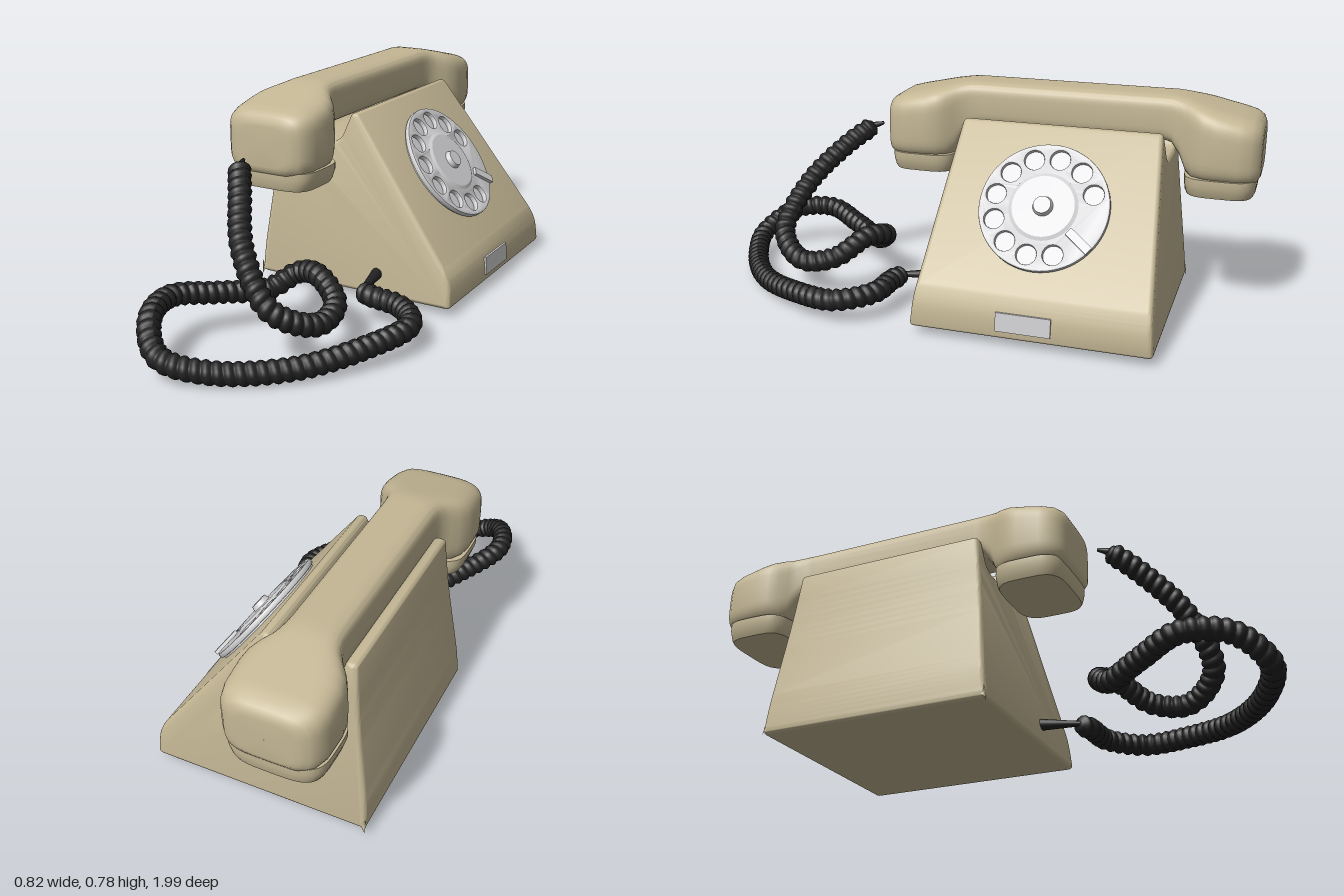
import * as THREE from 'three';
import { toCreasedNormals } from 'three/addons/utils/BufferGeometryUtils.js';

const mat = (name, color) => {
  const m = new THREE.MeshStandardMaterial({ color });
  m.name = name;
  return m;
};

const V = (x, y, z) => new THREE.Vector3(x, y, z);

// Closed shape from [x, y, cornerRadius] points
function roundedShape(pts) {
  const s = new THREE.Shape();
  const n = pts.length;
  pts.forEach(([x, y, r], i) => {
    const toward = ([px, py]) => {
      const d = Math.hypot(px - x, py - y);
      return [x + (px - x) * r / d, y + (py - y) * r / d];
    };
    const a = toward(pts[(i + n - 1) % n]);
    const b = toward(pts[(i + 1) % n]);
    if (i === 0) s.moveTo(...a); else s.lineTo(...a);
    s.quadraticCurveTo(x, y, ...b);
  });
  s.closePath();
  return s;
}

// Rounded-box sections [z, halfWidth, yBottom, yTop] joined along z, ends closed
function loft(sections, power, crease = 0.7, sides = 48) {
  const first = sections[0], last = sections[sections.length - 1];
  const tip = ([z, , b, t]) => [z, 0.0005, (b + t) / 2 - 0.0005, (b + t) / 2 + 0.0005];
  const rings = [tip(first), ...sections, tip(last)];
  const pos = [], idx = [];
  const bulge = v => Math.sign(v) * Math.abs(v) ** (2 / power);
  rings.forEach(([z, w, b, t], i) => {
    for (let j = 0; j < sides; j++) {
      const a = (j / sides) * Math.PI * 2;
      pos.push(w * bulge(Math.cos(a)), (b + t) / 2 + (t - b) / 2 * bulge(Math.sin(a)), z);
      if (i === rings.length - 1) continue;
      const k = (j + 1) % sides, p = i * sides, q = p + sides;
      idx.push(p + j, p + k, q + k, p + j, q + k, q + j);
    }
  });
  const g = new THREE.BufferGeometry();
  g.setAttribute('position', new THREE.Float32BufferAttribute(pos, 3));
  g.setIndex(idx);
  return toCreasedNormals(g, crease);
}

export function createModel() {
  const model = new THREE.Group();
  const beige = mat('beige casing', 0xc4b795);
  const silver = mat('silver dial', 0xd2d2d4);
  const black = mat('black cord', 0x222222);
  const midZ = -0.318;

  const add = (parent, name, geo, material, x = 0, y = 0, z = 0) => {
    const m = new THREE.Mesh(geo, material);
    m.name = name;
    m.position.set(x, y, z);
    parent.add(m);
    return m;
  };

  // Body: wedge profile with a cradle groove, narrowing toward the top
  const profile = roundedShape([
    [-0.41, 0.04, 0.02], [-0.41, 0.12, 0.07], [-0.365, 0.47, 0.1], [-0.35, 0.67, 0.014],
    [-0.312, 0.67, 0.014], [-0.28, 0.57, 0.04], [-0.1, 0.57, 0.04], [-0.055, 0.68, 0.012],
    [-0.03, 0.68, 0.012], [0.366, 0.15, 0.05], [0.375, 0.04, 0.02],
  ]);
  const bevel = 0.016;
  const body = new THREE.ExtrudeGeometry(profile, {
    depth: 0.84 - 2 * bevel, bevelSize: bevel, bevelThickness: bevel,
    bevelOffset: -bevel, bevelSegments: 4, curveSegments: 8,
  });
  body.translate(0, 0, -0.42 + bevel);
  const bp = body.attributes.position;
  for (let i = 0; i < bp.count; i++) {
    bp.setZ(i, bp.getZ(i) * (1 - (bp.getY(i) - 0.04) * 0.24));
  }
  add(model, 'body', toCreasedNormals(body, 0.6), beige, 0, 0, midZ);

  // Handset: slim grip flaring into two heads
  const half = [
    [0.33, 0.095, 0.63, 0.79], [0.365, 0.098, 0.62, 0.79], [0.395, 0.108, 0.58, 0.787],
    [0.42, 0.125, 0.525, 0.782], [0.445, 0.147, 0.505, 0.776], [0.48, 0.166, 0.5, 0.768],
    [0.52, 0.172, 0.5, 0.758], [0.6, 0.17, 0.5, 0.74], [0.64, 0.158, 0.504, 0.73],
    [0.663, 0.138, 0.512, 0.716], [0.674, 0.11, 0.528, 0.695], [0.676, 0.09, 0.54, 0.68],
  ];
  const back = half.map(([z, ...r]) => [-z, ...r]).reverse();
  const handset = new THREE.Group();
  handset.name = 'handset';
  handset.position.set(-0.217, 0, -0.322);
  model.add(handset);
  add(handset, 'grip', loft([...back, ...half], 4.2), beige);

  // Ear and mouth caps below the heads
  const cap = loft([
    [0.453, 0.13, -0.1, 0.1], [0.458, 0.147, -0.116, 0.116], [0.47, 0.153, -0.121, 0.121],
    [0.5, 0.163, -0.125, 0.125], [0.525, 0.163, -0.125, 0.125],
  ], 4);
  cap.rotateX(-Math.PI / 2);
  add(handset, 'mouthCap', cap, beige, 0, 0, 0.54);
  add(handset, 'earCap', cap, beige, 0, 0, -0.54);

  // Dial, lying on the slope with local z pointing outward
  const dial = new THREE.Group();
  dial.name = 'dial';
  const up = V(-0.599, 0.801, 0), out = V(0.801, 0.599, 0);
  dial.setRotationFromMatrix(new THREE.Matrix4().makeBasis(V(0, 0, -1), up, out));
  dial.position.set(0.152, 0.437, -0.314);
  model.add(dial);
  const disc = (name, rTop, rBottom, z0, z1) =>
    add(dial, name, new THREE.CylinderGeometry(rTop, rBottom, z1 - z0, 64).rotateX(Math.PI / 2),
      silver, 0, 0, (z0 + z1) / 2);
  disc('dialBase', 0.218, 0.218, -0.012, 0.006);

  const plate = new THREE.Shape().absarc(0, 0, 0.224, 0, Math.PI * 2);
  for (let i = 0; i < 10; i++) {
    const a = THREE.MathUtils.degToRad(20 + i * 30);
    const x = 0.174 * Math.cos(a), y = 0.174 * Math.sin(a);
    plate.holes.push(new THREE.Path().absarc(x, y, 0.037, 0, Math.PI * 2, true));
  }
  const plateGeo = new THREE.ExtrudeGeometry(plate, {
    depth: 0.012, bevelSize: 0.004, bevelThickness: 0.004, bevelOffset: -0.002,
    bevelSegments: 2, curveSegments: 32,
  });
  add(dial, 'fingerPlate', toCreasedNormals(plateGeo, 0.6), silver, 0, 0, 0.01);
  disc('dialCentre', 0.108, 0.124, 0.024, 0.032);
  disc('dialHub', 0.03, 0.036, 0.03, 0.05);

  // Finger stop
  const stopAngle = THREE.MathUtils.degToRad(-38);
  const stop = add(dial, 'fingerStop', new THREE.BoxGeometry(0.1, 0.03, 0.012), silver,
    0.178 * Math.cos(stopAngle), 0.178 * Math.sin(stopAngle), 0.034);
  stop.rotation.z = stopAngle;

  // Label plate on the low front edge of the slope
  const label = add(model, 'labelPlate', new THREE.BoxGeometry(0.008, 0.066, 0.19), silver,
    0.3725, 0.102, -0.303);
  label.rotation.z = 0.08;

  // Coiled cord
  const path = new THREE.CatmullRomCurve3([
    [0.095, 0.105, 0.225], [0.15, 0.105, 0.25], [0.27, 0.1, 0.27], [0.365, 0.095, 0.38],
    [0.31, 0.08, 0.56], [0.165, 0.055, 0.76], [-0.05, 0.055, 0.91], [-0.2, 0.09, 0.955],
    [-0.3, 0.16, 0.87], [-0.34, 0.175, 0.72], [-0.26, 0.15, 0.57], [-0.155, 0.135, 0.43],
    [-0.07, 0.19, 0.365], [0.03, 0.21, 0.4], [0.145, 0.16, 0.48], [0.155, 0.14, 0.61],
    [0.06, 0.21, 0.725], [-0.07, 0.365, 0.68], [-0.17, 0.51, 0.55], [-0.23, 0.575, 0.465],
  ].map(p => V(...p)));
  path.arcLengthDivisions = 800;
  const steps = 900, around = 14;
  const cord = new THREE.TubeGeometry(path, steps, 0.035, around, false);
  const length = path.getLength(), coils = Math.round(length / 0.034);
  const cp = cord.attributes.position, cn = cord.attributes.normal;
  for (let i = 0; i <= steps; i++) {
    const u = i / steps;
    const centre = path.getPointAt(u);
    const end = Math.min(1, Math.min(u, 1 - u) * length / 0.03);
    const taper = Math.sqrt(1 - (1 - end) ** 2);
    for (let j = 0; j <= around; j++) {
      const k = i * (around + 1) + j;
      const ridge = Math.abs(Math.sin(Math.PI * (u * coils + j / around)));
      const r = (0.032 + 0.008 * ridge) * taper;
      cp.setXYZ(k, centre.x + cn.getX(k) * r, centre.y + cn.getY(k) * r, centre.z + cn.getZ(k) * r);
    }
  }
  cord.computeVertexNormals();
  add(model, 'coiledCord', cord, black);

  // Straight tapered ends of the cord
  const cone = (name, a, b, ra, rb) => {
    const dir = b.clone().sub(a);
    const m = add(model, name, new THREE.CylinderGeometry(rb, ra, dir.length(), 16), black);
    m.position.copy(a).lerp(b, 0.5);
    m.quaternion.setFromUnitVectors(V(0, 1, 0), dir.normalize());
  };
  cone('strainRelief', V(0.08, 0.12, 0.08), V(0.1, 0.108, 0.235), 0.022, 0.009);
  cone('cordTip', V(-0.225, 0.57, 0.475), V(-0.238, 0.582, 0.432), 0.014, 0.006);

  return model;
}
